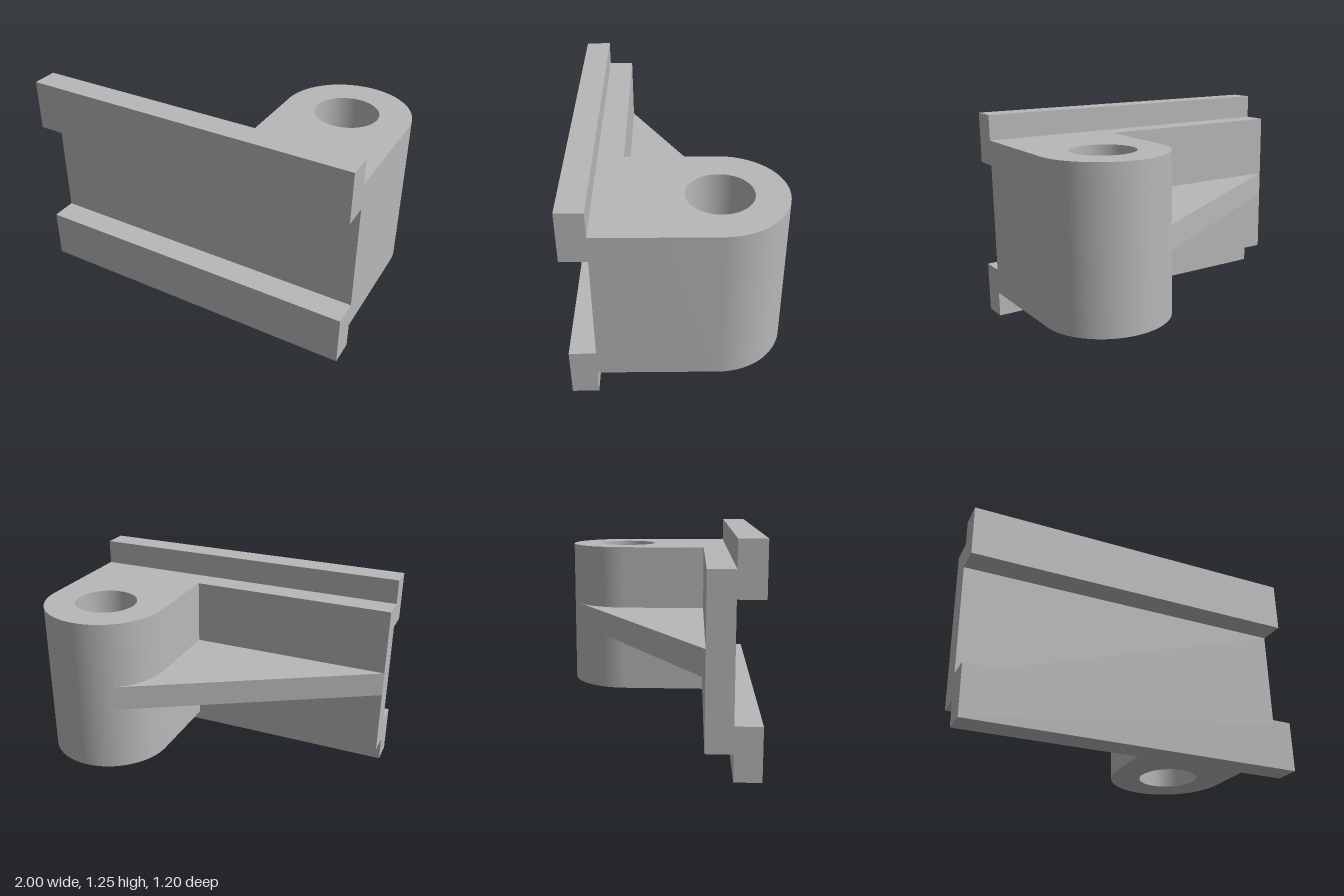
import * as THREE from 'three';
import { toCreasedNormals } from 'three/addons/utils/BufferGeometryUtils.js';

const polygon = (points) => new THREE.Shape(points.map(([x, y]) => new THREE.Vector2(x, y)));

function extrude(shape, depth) {
  return new THREE.ExtrudeGeometry(shape, { depth, bevelEnabled: false, curveSegments: 48 });
}

// Extrudes an (x, z) plan vertically between two heights
function extrudePlan(shape, bottom, top) {
  const geometry = extrude(shape, top - bottom).rotateX(Math.PI / 2).translate(0, top, 0);
  return toCreasedNormals(geometry, 0.5);
}

export function createModel() {
  const group = new THREE.Group();
  const grey = new THREE.MeshStandardMaterial({ color: 0xb8b8b8 });
  grey.name = 'grey metal';

  function add(name, geometry) {
    const mesh = new THREE.Mesh(geometry, grey);
    mesh.name = name;
    group.add(mesh);
  }

  // Mounting plate with its two front rails: a (z, y) section run along x
  const section = polygon([
    [0.3, 0.15], [0.45, 0.15], [0.45, 0], [0.6, 0], [0.6, 0.3], [0.45, 0.3],
    [0.45, 0.95], [0.6, 0.95], [0.6, 1.25], [0.45, 1.25], [0.45, 1.1], [0.3, 1.1],
  ]);
  add('railedPlate', extrude(section, 2).rotateY(-Math.PI / 2).translate(1, 0, 0));

  // Round-ended boss with a vertical through hole
  const cx = 0.625, cz = -0.225, radius = 0.375;
  const boss = new THREE.Shape();
  boss.moveTo(cx + radius, 0.3);
  boss.lineTo(cx - radius, 0.3);
  boss.lineTo(cx - radius, cz);
  boss.absarc(cx, cz, radius, Math.PI, Math.PI * 2, false);
  boss.closePath();
  const hole = new THREE.Path();
  hole.absarc(cx, cz, 0.1875, 0, Math.PI * 2, true);
  boss.holes.push(hole);
  add('pivotBoss', extrudePlan(boss, 0.15, 1.1));

  // Horizontal rib from the plate's end, tangent to the boss
  const distance = Math.hypot(cx + 1, cz - 0.3);
  const angle = Math.atan2(cz - 0.3, cx + 1) - Math.asin(radius / distance);
  const reach = Math.sqrt(distance ** 2 - radius ** 2);
  const tangent = [-1 + reach * Math.cos(angle), 0.3 + reach * Math.sin(angle)];
  const rib = polygon([[-1, 0.3], tangent, [cx - radius, cz], [cx - radius, 0.3]]);
  add('supportRib', extrudePlan(rib, 0.55, 0.7));

  return group;
}
